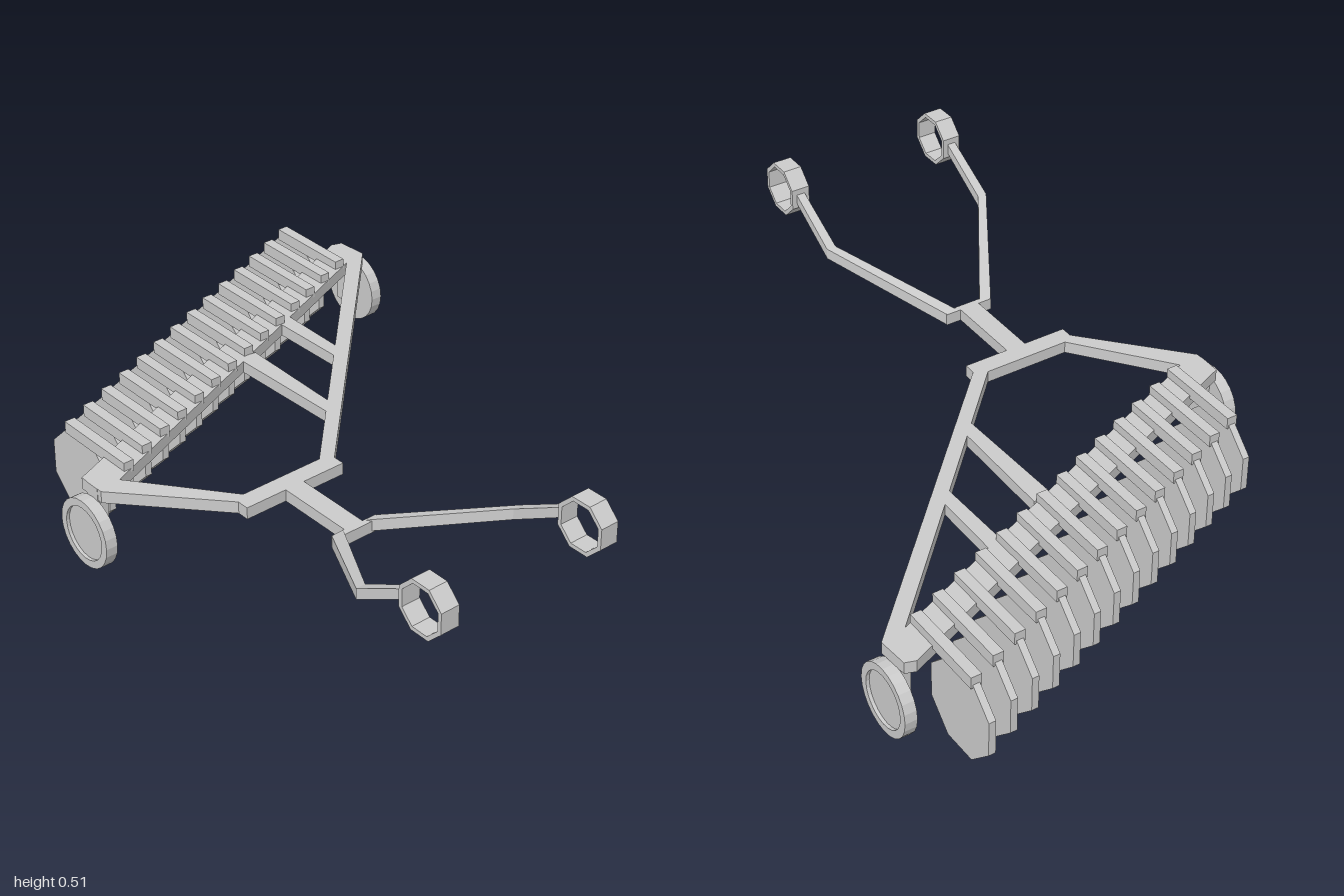
import * as THREE from 'three';

const material = new THREE.MeshStandardMaterial({ color: 0xcccccc, flatShading: true });
const Y0 = 0.21, Y1 = 0.245; // underside and top of the frame bars

function add(parent, name, geometry, x = 0, y = 0, z = 0) {
  const mesh = new THREE.Mesh(geometry, material);
  mesh.name = name;
  mesh.position.set(x, y, z);
  parent.add(mesh);
  return mesh;
}

// Flat bar drawn in plan as [x, z] corners and raised between Y0 and Y1
function plan(points) {
  const shape = new THREE.Shape(points.map(([x, z]) => new THREE.Vector2(x, -z)));
  return new THREE.ExtrudeGeometry(shape, { depth: Y1 - Y0, bevelEnabled: false })
    .rotateX(-Math.PI / 2).translate(0, Y0, 0);
}

// Rectangular bar through upright sections [x, y, z, halfWidth, halfHeight]
function loft(sections) {
  const pos = [], index = [];
  sections.forEach(([x, y, z, w, h], k) => {
    pos.push(x - w, y - h, z, x + w, y - h, z, x + w, y + h, z, x - w, y + h, z);
    if (k === 0) return;
    for (let i = 0; i < 4; i++) {
      const j = (i + 1) % 4, p = (k - 1) * 4, q = k * 4;
      index.push(p + i, p + j, q + j, p + i, q + j, q + i);
    }
  });
  const e = (sections.length - 1) * 4;
  index.push(0, 2, 1, 0, 3, 2, e, e + 1, e + 2, e, e + 2, e + 3);
  const g = new THREE.BufferGeometry();
  g.setAttribute('position', new THREE.Float32BufferAttribute(pos, 3));
  g.setIndex(index);
  const flat = g.toNonIndexed();
  flat.computeVertexNormals();
  return flat;
}

function octagon(Type, apothem) {
  const r = apothem / Math.cos(Math.PI / 8), path = new Type();
  const pts = [];
  for (let i = 0; i < 8; i++) {
    const a = (i + 0.5) * Math.PI / 4;
    pts.push(new THREE.Vector2(r * Math.cos(a), r * Math.sin(a)));
  }
  path.setFromPoints(pts);
  return path;
}

export function createModel() {
  const model = new THREE.Group();
  model.name = 'trailedImplement';

  // Frame
  const frame = new THREE.Group();
  frame.name = 'frame';
  model.add(frame);
  add(frame, 'mainBeam', plan([[-0.665, -0.165], [-0.665, -0.25], [-0.64, -0.26],
    [0.635, -0.79], [0.665, -0.78], [0.672, -0.69], [0.63, -0.69], [-0.63, -0.165]]));
  add(frame, 'shortSideBar', plan([[-0.665, -0.165], [-0.425, 0.1], [-0.39, 0.085], [-0.6, -0.185]]));
  add(frame, 'longSideBar', plan([[-0.105, 0.1], [0.672, -0.69], [0.61, -0.69], [-0.145, 0.085]]));
  add(frame, 'frontBar', plan([[-0.425, 0.08], [-0.425, 0.135], [-0.105, 0.135], [-0.105, 0.08]]));
  add(frame, 'brace', plan([[0.013, -0.45], [0.025, -0.04], [0.062, -0.08], [0.07, -0.45]]));
  add(frame, 'brace', plan([[0.222, -0.54], [0.228, -0.25], [0.265, -0.285], [0.268, -0.54]]));
  add(frame, 'tongue', plan([[-0.298, 0.12], [-0.298, 0.375], [-0.238, 0.375], [-0.238, 0.12]]));
  add(frame, 'hitchCrossbar', plan([[-0.34, 0.367], [-0.32, 0.385], [-0.212, 0.385], [-0.192, 0.367]]));

  // Hitch arms with an eight-sided ring at each tip
  const ring = octagon(THREE.Shape, 0.0725);
  ring.holes.push(octagon(THREE.Path, 0.061));
  const ringGeometry = new THREE.ExtrudeGeometry(ring, { depth: 0.055, bevelEnabled: false })
    .translate(0, 0, -0.0275).rotateY(Math.PI / 2);
  for (const s of [-1, 1]) {
    const x = d => -0.267 + s * d;
    add(model, 'hitchArm', loft([
      [x(0.055), 0.2275, 0.37, 0.019, 0.0175],
      [x(0.255), 0.34, 0.69, 0.014, 0.016],
      [x(0.255), 0.435, 0.86, 0.0125, 0.015]]));
    add(model, 'hitchRing', ringGeometry, x(0.255), 0.435, 0.9275);
  }

  // Row of eight-sided discs, each under its own arm
  const disc = new THREE.CylinderGeometry(0.1353, 0.1353, 0.02, 8)
    .rotateY(Math.PI / 8).rotateZ(Math.PI / 2);
  const arm = new THREE.BoxGeometry(0.031, 0.035, 0.265);
  const gang = new THREE.Group();
  gang.name = 'discGang';
  model.add(gang);
  for (let i = 0; i < 14; i++) {
    const x = -0.549 + i * 0.0854, z = -0.41 - i * 0.0358;
    add(gang, 'disc', disc, x, 0.125, z);
    add(gang, 'discArm', arm, x, 0.2525, z + 0.076);
  }

  // End wheels, dished on the outside, hung on struts
  const profile = [[0, -0.0175], [0.1, -0.0175], [0.1, 0.0175], [0.078, 0.0175], [0.078, 0.008], [0, 0.008]]
    .map(([r, y]) => new THREE.Vector2(r, y));
  for (const [s, z] of [[-1, -0.203], [1, -0.738]]) {
    const wheel = new THREE.LatheGeometry(profile, 24).rotateZ(-s * Math.PI / 2);
    add(model, 'wheel', wheel, s * 0.6825, 0.11, z);
    add(model, 'wheelStrut', new THREE.BoxGeometry(0.032, 0.165, 0.045), s * 0.65, 0.1625, z);
  }
  return model;
}
